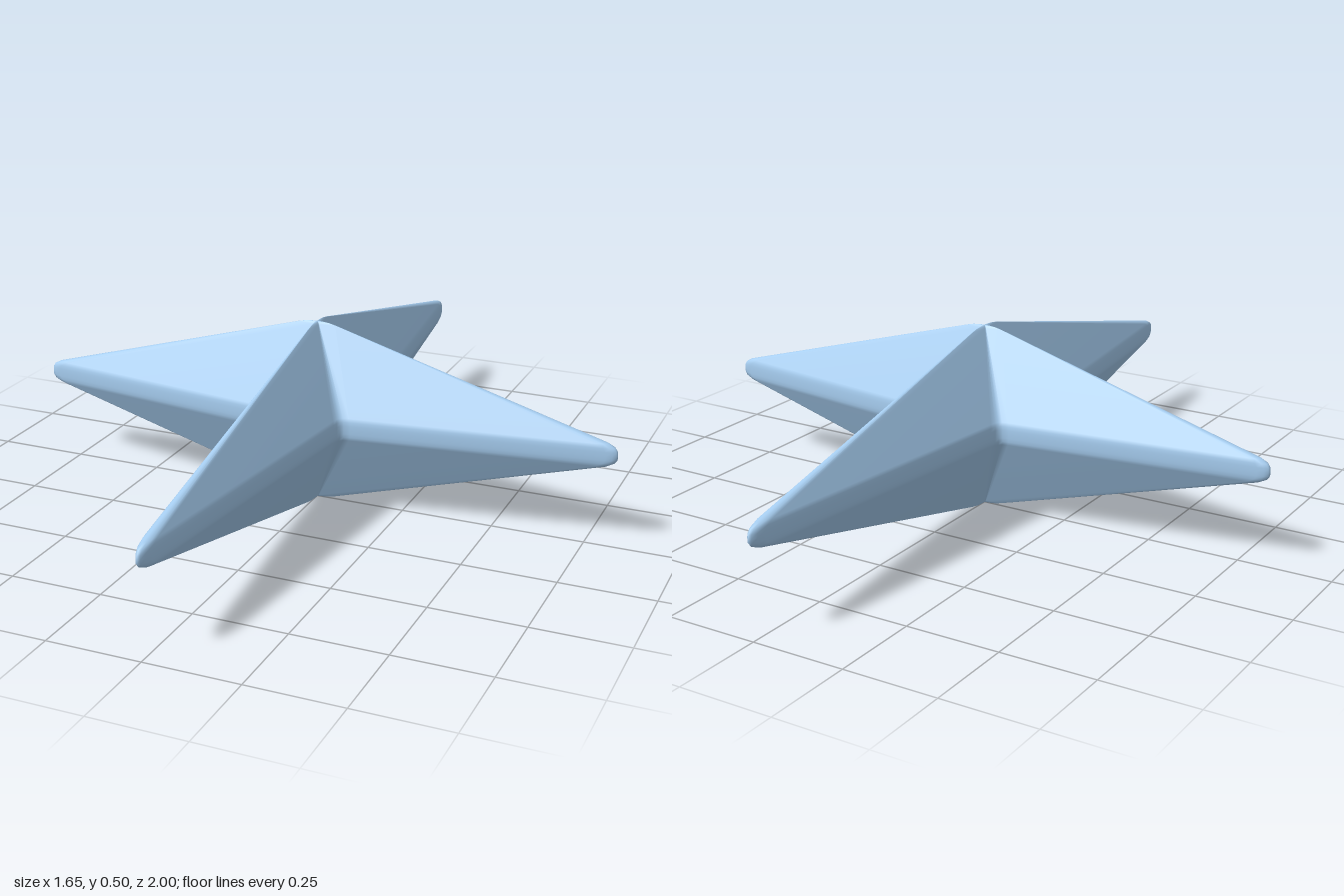
import * as THREE from 'three';

const HALF_HEIGHT = 0.2525;

// One quarter of the star outline (x, z), from the side tip over the inner corner to the front tip.
const QUARTER = [
  [0.825, 0], [0.822, 0.006], [0.812, 0.011], [0.795, 0.0155],
  [0.138, 0.105], [0.122, 0.108], [0.114, 0.115], [0.109, 0.124], [0.106, 0.14],
  [0.0165, 0.96], [0.012, 0.982], [0.006, 0.996], [0, 1],
];

// Upper half of the profile: height above the middle and scale of the outline, with soft rim and peak.
const PROFILE = [
  [0, 1], [0.011, 0.999], [0.021, 0.991], [0.031, 0.968],
  [0.2455, 0.065], [0.25, 0.042], [0.252, 0.02],
];

// Mirrors the quarter into a closed loop of points.
function starOutline() {
  const loop = [];
  for (const [sx, sz] of [[1, 1], [-1, 1], [-1, -1], [1, -1]]) {
    const part = QUARTER.map(([x, z]) => [x * sx, z * sz]);
    if (sx * sz < 0) part.reverse();
    loop.push(...part.slice(0, -1));
  }
  return loop;
}

// Stacks scaled outlines from bottom to top and closes both peaks.
function starGeometry() {
  const outline = starOutline();
  const n = outline.length;
  const lower = PROFILE.slice(1).reverse().map(([y, s]) => [-y, s]);
  const levels = [...lower, ...PROFILE];
  const positions = [];
  const indices = [];
  for (const [y, s] of levels) {
    for (const [x, z] of outline) positions.push(x * s, y + HALF_HEIGHT, z * s);
  }
  for (let k = 0; k < levels.length - 1; k++) {
    for (let i = 0; i < n; i++) {
      const j = (i + 1) % n;
      const a = k * n + i, b = k * n + j, c = a + n, d = b + n;
      indices.push(a, c, b, b, c, d);
    }
  }
  const bottom = levels.length * n;
  const top = bottom + 1;
  const last = (levels.length - 1) * n;
  positions.push(0, 0, 0, 0, 2 * HALF_HEIGHT, 0);
  for (let i = 0; i < n; i++) {
    const j = (i + 1) % n;
    indices.push(bottom, i, j, top, last + j, last + i);
  }
  const geometry = new THREE.BufferGeometry();
  geometry.setAttribute('position', new THREE.Float32BufferAttribute(positions, 3));
  geometry.setIndex(indices);
  geometry.computeVertexNormals();
  return geometry;
}

export function createModel() {
  const group = new THREE.Group();
  group.name = 'fourPointedStar';
  const star = new THREE.Mesh(starGeometry(), new THREE.MeshStandardMaterial({ color: 0xa6cdf0 }));
  star.name = 'starBody';
  group.add(star);
  return group;
}
